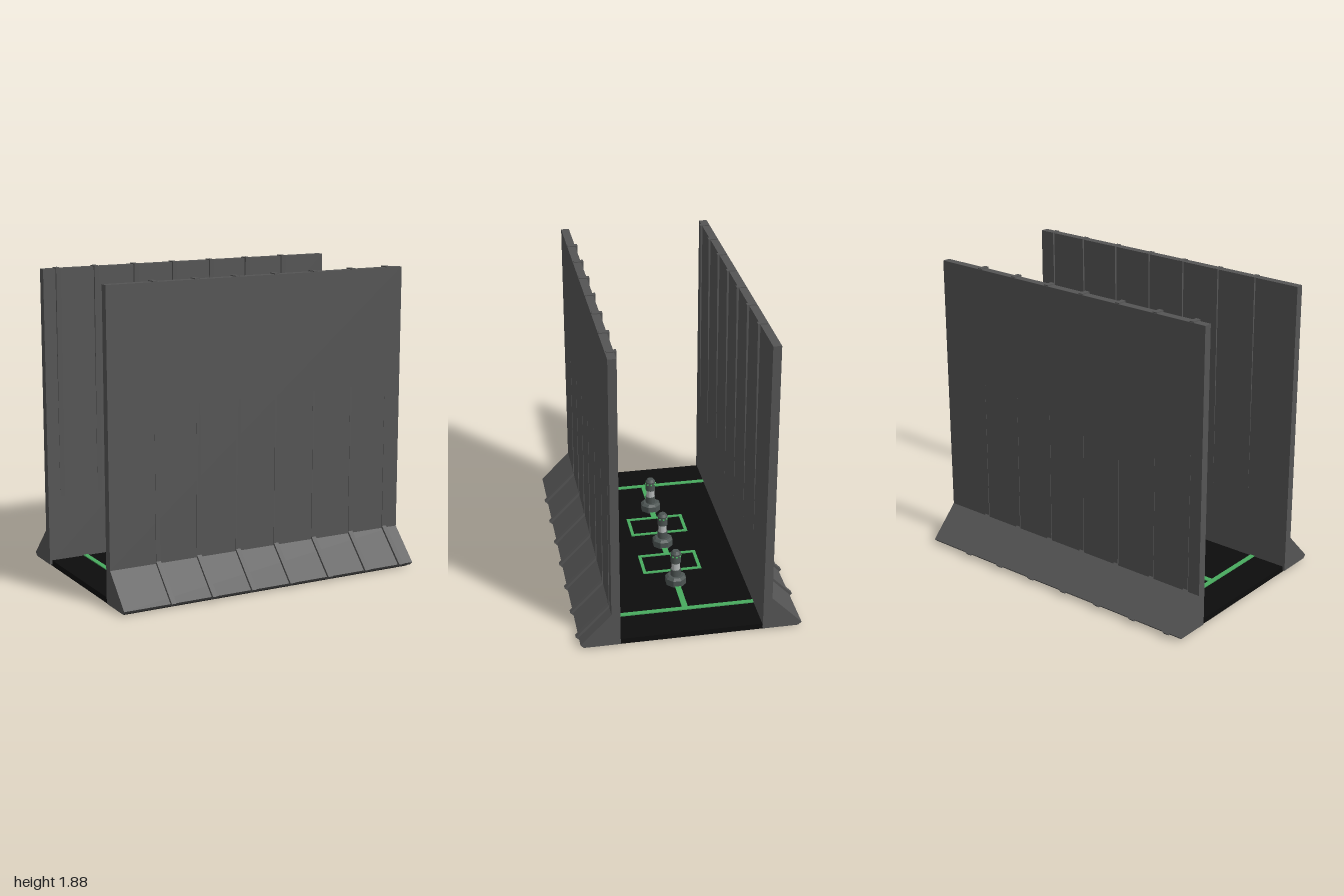
import * as THREE from 'three';

const mat = (color) => new THREE.MeshStandardMaterial({ color, flatShading: true });
const wallMat = mat(0x555555);
const floorMat = mat(0x0d0d0d);
const greenMat = mat(0x48aa5e);
const metalMat = mat(0x4c5452);
const glassMat = mat(0xb4b8b8);

function add(parent, name, geometry, material, x = 0, y = 0, z = 0) {
  const mesh = new THREE.Mesh(geometry, material);
  mesh.name = name;
  mesh.position.set(x, y, z);
  parent.add(mesh);
  return mesh;
}

// Extrude a (z, y) profile along x, centred on x = 0
function extrudeAlongX(points, width) {
  const shape = new THREE.Shape(points.map(([z, y]) => new THREE.Vector2(-z, y)));
  const geo = new THREE.ExtrudeGeometry(shape, { depth: width, bevelEnabled: false });
  geo.translate(0, 0, -width / 2);
  return geo.rotateY(Math.PI / 2);
}

// Tall wall with a sloped foot and slightly leaning ribs that break through both faces
function makeWall(name) {
  const wall = new THREE.Group();
  wall.name = name;
  add(wall, 'wallPanel', extrudeAlongX([
    [0.432, 0.01], [0.652, 0.01], [0.672, 0.03], [0.485, 0.222], [0.482, 1.877], [0.432, 1.877],
  ], 2), wallMat);
  const ribGeo = extrudeAlongX([
    [0.434, 0.014], [0.67, 0.014], [0.69, 0.034], [0.49, 0.236], [0.478, 1.883], [0.418, 1.883], [0.434, 0.24],
  ], 0.03);
  for (const x of [-0.69, -0.42, -0.155, 0.11, 0.38, 0.65, 0.905]) add(wall, 'wallRib', ribGeo, wallMat, x);
  return wall;
}

// Lamp post: stepped octagonal foot, glass band, ring of small lights and a cap
function makeLamp(x) {
  const lamp = new THREE.Group();
  lamp.name = 'lampPost';
  lamp.position.set(x, 0.036, -0.004);
  const section = (name, bottom, top, y0, y1, sides, material) => add(lamp, name,
    new THREE.CylinderGeometry(top, bottom, y1 - y0, sides).rotateY(Math.PI / sides), material, 0, (y0 + y1) / 2, 0);
  section('lampFoot', 0.067, 0.067, 0, 0.042, 8, metalMat);
  section('lampFootBevel', 0.067, 0.05, 0.042, 0.055, 8, metalMat);
  section('lampNeck', 0.032, 0.032, 0.055, 0.1, 16, metalMat);
  section('lampGlass', 0.027, 0.027, 0.1, 0.15, 16, glassMat);
  section('lampHead', 0.032, 0.032, 0.15, 0.215, 16, metalMat);
  section('lampCap', 0.032, 0.02, 0.215, 0.232, 16, metalMat);
  const bulb = new THREE.SphereGeometry(0.007, 8, 6);
  for (let i = 0; i < 8; i++) {
    const a = (i / 8) * Math.PI * 2;
    add(lamp, 'lampLight', bulb, greenMat, 0.031 * Math.cos(a), 0.198, 0.031 * Math.sin(a));
  }
  return lamp;
}

// Rectangular outline lying flat on the floor
function frameGeometry(w, d, border, height) {
  const rect = (C, a, b) => new C([[-a, -b], [a, -b], [a, b], [-a, b]].map(([x, y]) => new THREE.Vector2(x, y)));
  const shape = rect(THREE.Shape, w / 2, d / 2);
  shape.holes.push(rect(THREE.Path, w / 2 - border, d / 2 - border));
  return new THREE.ExtrudeGeometry(shape, { depth: height, bevelEnabled: false }).rotateX(-Math.PI / 2);
}

export function createModel() {
  const model = new THREE.Group();
  model.name = 'trenchSegment';

  // Floor slab
  add(model, 'floor', new THREE.BoxGeometry(1.97, 0.036, 1.27), floorMat, 0, 0.018, 0);

  // Opposing walls, the back one turned half around
  model.add(makeWall('frontWall'));
  const back = makeWall('backWall');
  back.rotation.y = Math.PI;
  model.add(back);

  // Floor markings
  const h = 0.006, y = 0.036;
  for (const x of [-0.755, 0.747]) {
    add(model, 'crossStripe', new THREE.BoxGeometry(0.03, h, 0.87), greenMat, x, y + h / 2, 0);
  }
  for (const [x0, x1] of [[-0.745, -0.33], [-0.13, 0.12], [0.325, 0.735]]) {
    add(model, 'centreStripe', new THREE.BoxGeometry(x1 - x0, h, 0.036), greenMat, (x0 + x1) / 2, y + h / 2, -0.007);
  }
  const frame = frameGeometry(0.212, 0.374, 0.02, h);
  for (const x of [-0.231, 0.224]) add(model, 'floorFrame', frame, greenMat, x, y, -0.007);

  // Lamp posts
  for (const x of [-0.455, -0.002, 0.45]) model.add(makeLamp(x));

  return model;
}
